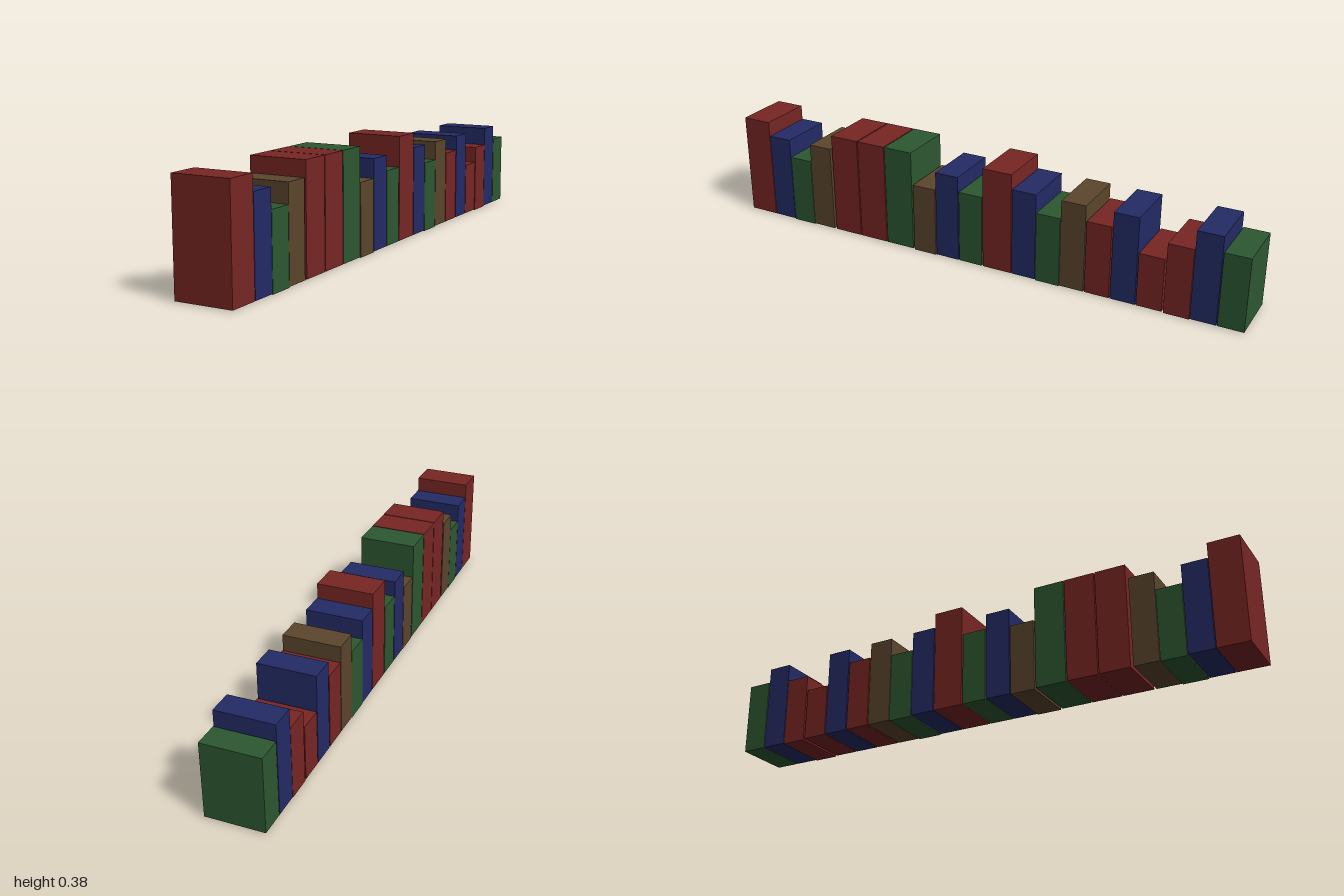
import * as THREE from 'three';

const COLORS = { red: 0x782624, blue: 0x232b66, green: 0x2d5831, brown: 0x5c462d };

// Block sizes: [height, thickness, bottom]
const SIZES = {
  large: [0.382, 0.112, 0.003],
  tall: [0.327, 0.091, 0.003],
  medium: [0.271, 0.091, 0.003],
  short: [0.261, 0.091, 0],
  small: [0.198, 0.091, 0.003],
};
const WIDTH = 0.208;

// Row of books from front to back: [colour, size, centre z]
const BOOKS = [
  ['red', 'large', 0.944], ['blue', 'tall', 0.84], ['green', 'short', 0.747], ['brown', 'tall', 0.654],
  ['red', 'large', 0.543], ['red', 'large', 0.427], ['green', 'large', 0.311], ['brown', 'short', 0.204],
  ['blue', 'tall', 0.109], ['green', 'medium', 0.014], ['red', 'large', -0.093], ['blue', 'tall', -0.198],
  ['green', 'short', -0.291], ['brown', 'tall', -0.384], ['red', 'medium', -0.479], ['blue', 'tall', -0.575],
  ['red', 'small', -0.67], ['red', 'short', -0.767], ['blue', 'tall', -0.86], ['green', 'medium', -0.9545],
];

export function createModel() {
  const row = new THREE.Group();
  row.name = 'bookRow';

  const materials = {};
  for (const [name, color] of Object.entries(COLORS)) {
    materials[name] = new THREE.MeshStandardMaterial({ color });
  }

  // One plain block per book, standing side by side along z
  BOOKS.forEach(([color, size, z], i) => {
    const [height, thickness, bottom] = SIZES[size];
    const book = new THREE.Mesh(new THREE.BoxGeometry(WIDTH, height, thickness), materials[color]);
    book.name = `${color}Book${i + 1}`;
    book.position.set(0, bottom + height / 2, z);
    row.add(book);
  });

  return row;
}
